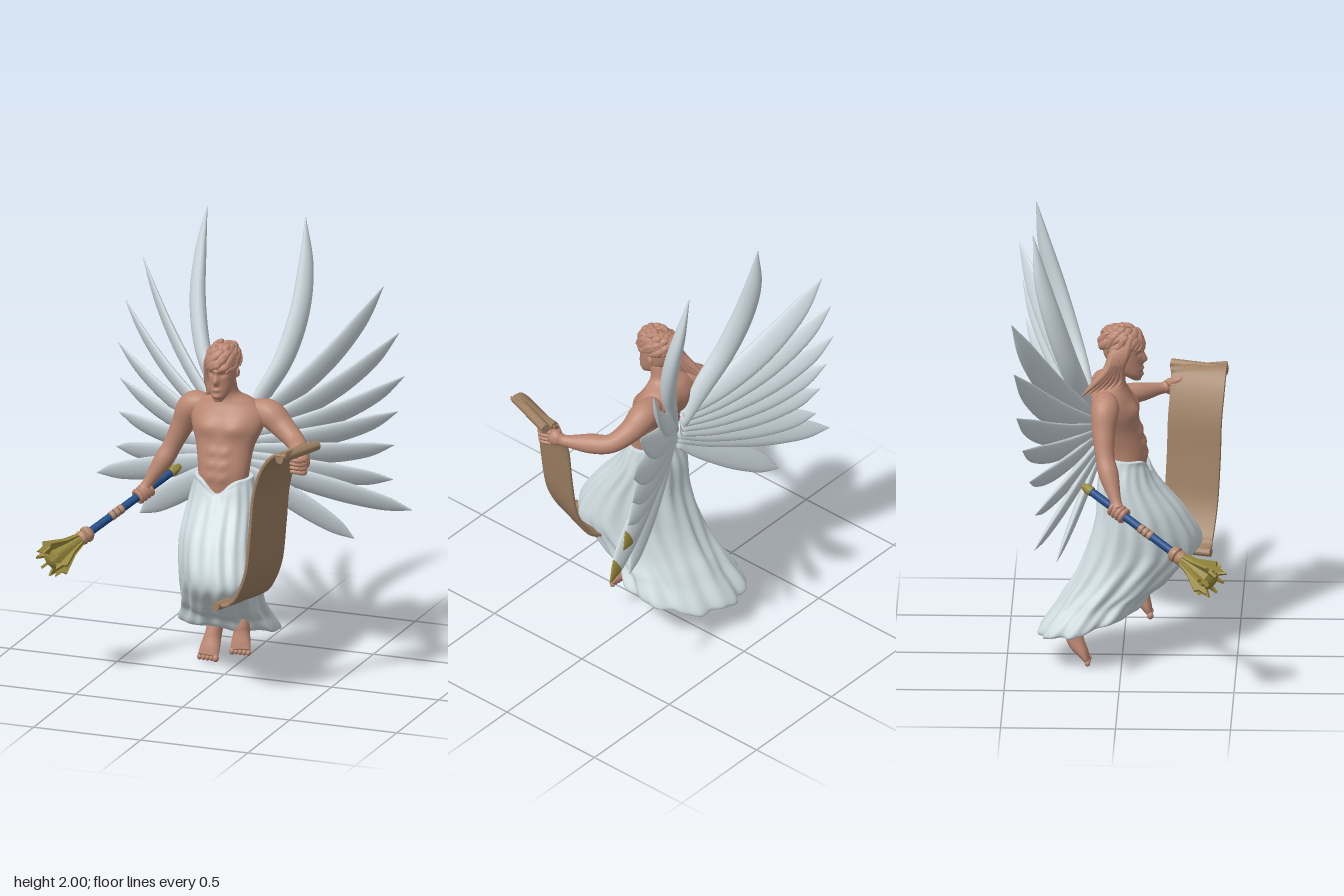
import * as THREE from 'three';
import { toCreasedNormals } from 'three/addons/utils/BufferGeometryUtils.js';

const mat = (name, color) => Object.assign(new THREE.MeshStandardMaterial({ color }), { name });
const SKIN = mat('skin', 0xbb8873);
const FEATHER = mat('feather white', 0xcfdae0);
const CLOTH = mat('cloth white', 0xd0dce0);
const PARCHMENT = mat('parchment', 0x9e8063);
const BLUE = mat('staff blue', 0x1d4a86);
const GOLD = mat('gold', 0x96873c);
const BAND = mat('tan band', 0xb5896c);

const V3 = (a) => new THREE.Vector3(...a);
const gauss = (d, s) => Math.exp(-(d * d) / (s * s));

// Sweeps an elliptical section along a path. Each row is [x, y, z, ru, rv].
// u is the section's first axis; a fixed v keeps all rings parallel.
function sweep(rows, u, { v, seg = 24, sides = 12, pow = 1, deform } = {}) {
  const path = new THREE.CatmullRomCurve3(rows.map((r) => V3(r.slice(0, 3))), false, 'catmullrom');
  const size = new THREE.CatmullRomCurve3(rows.map((r) => V3([r[3], r[4] ?? r[3], 0])), false, 'catmullrom');
  const pos = [], idx = [];
  const shape = (c) => Math.sign(c) * Math.abs(c) ** pow;
  for (let i = 0; i <= seg; i++) {
    const t = i / seg, c = path.getPoint(t), s = size.getPoint(t), T = path.getTangent(t);
    const U = V3(u);
    if (!v) U.addScaledVector(T, -U.dot(T)).normalize();
    const W = v ? V3(v) : T.clone().cross(U);
    for (let j = 0; j < sides; j++) {
      const a = (j / sides) * Math.PI * 2;
      const out = U.clone().multiplyScalar(shape(Math.cos(a)) * Math.max(s.x, 0.001))
        .addScaledVector(W, shape(Math.sin(a)) * Math.max(s.y, 0.001));
      const p = c.clone().add(out);
      if (deform) deform(p, t, a, out.normalize());
      pos.push(p.x, p.y, p.z);
    }
  }
  const first = pos.length / 3, end = seg * sides;
  for (const r of [rows[0], rows.at(-1)]) pos.push(r[0], r[1], r[2]);
  for (let j = 0; j < sides; j++) idx.push(first, (j + 1) % sides, j);
  for (let i = 0; i < seg; i++) for (let j = 0; j < sides; j++) {
    const a = i * sides + j, b = i * sides + (j + 1) % sides;
    idx.push(a, b, b + sides, a, b + sides, a + sides);
  }
  for (let j = 0; j < sides; j++) idx.push(first + 1, end + j, end + (j + 1) % sides);
  const g = new THREE.BufferGeometry();
  g.setAttribute('position', new THREE.Float32BufferAttribute(pos, 3));
  g.setIndex(idx);
  g.computeVertexNormals();
  return g;
}

function add(parent, name, geo, material, at) {
  const m = new THREE.Mesh(geo, material);
  m.name = name;
  if (at) m.position.set(...at);
  parent.add(m);
  return m;
}
const ball = (r, sx = 1, sy = 1, sz = 1) => new THREE.SphereGeometry(r, 16, 12).scale(sx, sy, sz);
const X = [1, 0, 0], Z = [0, 0, 1], FLAT = { v: [0, 0, -1] };

function buildBody(g) {
  // torso with chest and stomach muscles
  add(g, 'torso', sweep([
    [0, 0.82, 0.02, 0.11, 0.08], [0.005, 0.94, 0.02, 0.115, 0.085], [0, 1.05, -0.01, 0.132, 0.09],
    [0, 1.14, -0.04, 0.165, 0.1], [0, 1.2, -0.055, 0.165, 0.092], [0, 1.25, -0.055, 0.115, 0.07],
    [0, 1.285, -0.035, 0.055, 0.05], [0, 1.35, -0.01, 0.046, 0.046]], X, {
    ...FLAT, seg: 64, sides: 48, deform(p, t, a, out) {
      const x = Math.abs(p.x), side = Math.max(0, out.z);
      let d = 0.024 * gauss(x - 0.075, 0.06) * gauss(p.y - 1.145, 0.04);
      for (const y of [0.93, 0.985, 1.04]) d += 0.011 * gauss(x - 0.03, 0.022) * gauss(p.y - y, 0.02);
      p.z += d * side;
      // spine groove
      if (out.z < 0) p.z += 0.016 * gauss(x, 0.025) * gauss(p.y - 1.08, 0.14);
    } }), SKIN);

  // head with brow, nose, lips and chin
  add(g, 'head', sweep([
    [-0.005, 1.27, 0.062, 0.018, 0.018], [-0.005, 1.305, 0.035, 0.043, 0.052], [-0.005, 1.355, 0.01, 0.057, 0.076],
    [-0.005, 1.41, 0, 0.063, 0.087], [-0.005, 1.46, -0.005, 0.06, 0.083], [-0.005, 1.5, -0.008, 0.03, 0.045]], X, {
    ...FLAT, seg: 56, sides: 48, deform(p, t, a, out) {
      if (out.z < 0.2) return;
      const x = Math.abs(p.x + 0.005), y = p.y;
      p.z += 0.02 * gauss(x, 0.011) * gauss(y - 1.362, 0.017) + 0.01 * gauss(x, 0.01) * gauss(y - 1.385, 0.02)
        + 0.007 * gauss(x, 0.05) * gauss(y - 1.412, 0.009) - 0.011 * gauss(x - 0.026, 0.014) * gauss(y - 1.395, 0.01)
        + 0.008 * gauss(x, 0.02) * gauss(y - 1.325, 0.008) + 0.007 * gauss(x, 0.022) * gauss(y - 1.295, 0.01);
    } }), SKIN);
  for (const s of [-1, 1]) add(g, 'ear', ball(0.02, 0.4, 1, 0.7), SKIN, [s * 0.063 - 0.005, 1.385, -0.012]);

  // tousled hair: short curling locks scattered over the skull, then a swept tail on one side
  const hair = new THREE.Group();
  hair.name = 'hair';
  g.add(hair);
  for (let i = 0; i < 56; i++) {
    const r0 = 0.95 * Math.sqrt((i + 0.5) / 56), lift = 0.008 * Math.sin(i * 5);
    const at = (k, w, rise) => {
      const a = i * 2.4 + k * 0.9, r = Math.min(1.06, r0 + k * 0.45), over = Math.max(0, r0 + k * 0.45 - 1);
      const x = r * 0.064 * Math.cos(a), z = r * 0.09 * Math.sin(a) + 0.012 * k;
      return [-0.005 + x, 1.435 + 0.068 * Math.sqrt(Math.max(0, 1.13 - r * r)) - over * 0.1 + rise, z - 0.01, w, w * 0.6];
    };
    add(hair, 'hairLock', sweep([at(0, 0.01, 0), at(0.35, 0.017, 0.007 + lift), at(0.7, 0.014, 0.004), at(1, 0.002, 0.006 + lift)],
      [-Math.sin(i * 2.4 + 0.5), 0.1, Math.cos(i * 2.4 + 0.5)], { seg: 10, sides: 7 }), SKIN);
  }
  for (let i = 0; i < 6; i++) {
    const o = (i - 2.5) * 0.011;
    add(hair, 'hairTail', sweep([
      [-0.045, 1.46 + o, 0.01 + o, 0.018], [-0.072, 1.41, -0.01 + o, 0.02],
      [-0.085 + o * 0.5, 1.345, -0.035 + o, 0.02], [-0.096 + o, 1.29, -0.06 + o * 2, 0.015],
      [-0.118 + o, 1.25 + o * 0.6, -0.095 + o * 3, 0.002]], Z, { seg: 14, sides: 8 }), SKIN);
  }

  // arms
  add(g, 'rightArm', sweep([
    [-0.1, 1.205, -0.07, 0.045], [-0.175, 1.19, -0.07, 0.062], [-0.222, 1.1, -0.075, 0.051], [-0.268, 1.0, -0.068, 0.041],
    [-0.305, 0.93, -0.05, 0.043], [-0.36, 0.835, -0.02, 0.025], [-0.38, 0.8, -0.008, 0.028]], Z, { seg: 40, sides: 20 }), SKIN);
  add(g, 'leftArm', sweep([
    [0.1, 1.205, -0.075, 0.045], [0.18, 1.19, -0.08, 0.062], [0.25, 1.14, -0.065, 0.052], [0.328, 1.092, -0.02, 0.042],
    [0.375, 1.08, 0.06, 0.043], [0.428, 1.08, 0.15, 0.026], [0.44, 1.085, 0.18, 0.028]], [0, 1, 0], { seg: 40, sides: 20 }), SKIN);

  // left hand closing on the scroll
  add(g, 'leftPalm', ball(0.04, 0.75, 0.95, 1), SKIN, [0.445, 1.085, 0.2]);
  for (let i = 0; i < 4; i++) {
    const y = 1.112 - i * 0.019;
    add(g, 'leftFinger', sweep([[0.455, y, 0.21, 0.011], [0.472, y, 0.255, 0.012], [0.445, y + 0.004, 0.288 - i * 0.006, 0.011],
      [0.415, y + 0.006, 0.28, 0.007]], [0, 1, 0], { seg: 12, sides: 8 }), SKIN);
  }
  add(g, 'leftThumb', sweep([[0.43, 1.1, 0.19, 0.014], [0.415, 1.122, 0.225, 0.014], [0.42, 1.135, 0.262, 0.008]], X, { seg: 10, sides: 8 }), SKIN);

  // lower legs, feet and toes
  const feet = {
    right: [[-0.11, 0.23, -0.2, 0.036], [-0.12, 0.18, -0.215, 0.036, 0.034], [-0.13, 0.11, -0.2, 0.037, 0.038], [-0.133, 0.06, -0.17, 0.046, 0.026], [-0.136, 0.025, -0.15, 0.047, 0.014]],
    left: [[0.1, 0.31, 0.06, 0.036], [0.107, 0.27, 0.075, 0.037], [0.112, 0.235, 0.08, 0.036, 0.036], [0.116, 0.19, 0.1, 0.045, 0.025], [0.12, 0.16, 0.115, 0.046, 0.014]],
  };
  for (const [side, rows] of Object.entries(feet)) {
    add(g, side + 'Foot', sweep(rows, X, { seg: 24, sides: 16 }), SKIN);
    const [x, y, z] = rows.at(-1);
    for (let i = 0; i < 5; i++) {
      const k = side === 'right' ? 2 - i : i - 2;
      add(g, side + 'Toe', ball(i === 0 ? 0.015 : 0.012, 0.9, 1.1, 1), SKIN, [x + k * 0.019, y - 0.006, z + 0.003]);
    }
  }
}

// long draped skirt with folds, a dipped waist and a trailing hem
function buildSkirt(g) {
  add(g, 'skirt', sweep([
    [0.005, 0.25, -0.13, 0.02, 0.02], [0.01, 0.185, -0.145, 0.222, 0.21], [0, 0.28, -0.07, 0.205, 0.205],
    [-0.01, 0.38, 0.015, 0.19, 0.22], [-0.01, 0.5, 0.09, 0.185, 0.245], [-0.01, 0.65, 0.08, 0.178, 0.195],
    [0, 0.8, 0.028, 0.158, 0.135], [0.005, 0.89, 0.02, 0.138, 0.105], [0.005, 0.925, 0.02, 0.132, 0.1]], X, {
    ...FLAT, seg: 72, sides: 96, deform(p, t, a, out) {
      const low = 1 - t, hem = Math.max(0, 1 - t * 3.2);
      p.addScaledVector(out, 0.011 * low * Math.sin(9 * a + 5 * t) + 0.005 * Math.sin(17 * a - 9 * t) * Math.min(1, low * 3));
      p.y += hem * (0.4 * (p.z + 0.14) + 0.01 * Math.sin(6 * a));
      p.x += 0.3 * p.z * Math.min(1, low * 2);
      if (out.z > 0) p.y -= 0.08 * gauss(p.x - 0.005, 0.06) * Math.max(0, (t - 0.75) * 4);
    } }), CLOTH);
}

// two fans of long pointed feathers, each tilted so its back turns upward
function buildWings(g) {
  const tips = [[0.56, 1.7, -0.465], [0.637, 1.5, -0.452], [0.668, 1.31, -0.44], [0.648, 1.155, -0.415],
    [0.642, 1.01, -0.385], [0.645, 0.86, -0.36], [0.735, 0.73, -0.36], [0.5, 0.6, -0.27]];
  const widths = [0.024, 0.046, 0.056, 0.059, 0.053, 0.038, 0.002];
  const thick = [0.014, 0.018, 0.02, 0.019, 0.016, 0.011, 0.002];
  const SEG = 30, SIDES = 14, TILT = 0.45, gilded = { 5: 25, 6: 25 };
  for (const s of [-1, 1]) {
    const wing = new THREE.Group();
    wing.name = s > 0 ? 'leftWing' : 'rightWing';
    g.add(wing);
    const normal = V3([0.45 * s, 0, 0.89]);
    tips.forEach((tip, i) => {
      const root = V3([0.025 * s, 1.1 - i * 0.024, i > 4 ? -0.1 : -0.12]);
      const end = V3([tip[0] * s, tip[1], tip[2]]), d = end.clone().sub(root);
      const ctrl = root.clone().add(V3([d.x * 0.62, d.y * 0.42 - 0.055, d.z * 0.58]));
      const rows = new THREE.QuadraticBezierCurve3(root, ctrl, end).getPoints(6)
        .map((p, k) => [p.x, p.y, p.z, widths[k], thick[k]]);
      const u = normal.clone().cross(d).normalize().multiplyScalar(Math.cos(TILT)).addScaledVector(normal, s * Math.sin(TILT));
      const geo = sweep(rows, u.toArray(), { seg: SEG, sides: SIDES });
      // gilding on the back of two lower feather tips of the left wing
      const gold = s > 0 && i in gilded;
      if (gold) {
        const start = (ring) => SIDES * 3 + ring * SIDES * 6, half = SIDES * 3;
        geo.addGroup(0, start(gilded[i]), 0);
        for (let r = gilded[i]; r < SEG; r++) {
          geo.addGroup(start(r), half, 0);
          geo.addGroup(start(r) + half, half, 1);
        }
      }
      add(wing, 'feather', geo, gold ? [FEATHER, GOLD] : FEATHER);
    });
    add(wing, 'tallFeather', sweep([
      [0.025 * s, 1.05, -0.13, 0.02, 0.014], [0.1 * s, 1.22, -0.17, 0.042, 0.026], [0.19 * s, 1.4, -0.228, 0.048, 0.034],
      [0.238 * s, 1.6, -0.29, 0.047, 0.034], [0.246 * s, 1.8, -0.345, 0.035, 0.024], [0.23 * s, 2, -0.382, 0.002, 0.002]],
    [0.62 * s, 0, -0.78], { seg: 32, sides: 16 }), FEATHER);
  }
}

// hanging parchment with a roll at each end
function buildScroll(g) {
  const scroll = new THREE.Group();
  scroll.name = 'scroll';
  g.add(scroll);
  const w = V3([-0.08, 0, 0.24]).normalize(), u = w.toArray();
  const rows = [[0.465, 1.178, 0.32], [0.42, 1.16, 0.32], [0.372, 1.09, 0.315], [0.335, 0.97, 0.305], [0.318, 0.8, 0.3],
    [0.295, 0.62, 0.29], [0.245, 0.5, 0.275], [0.2, 0.455, 0.265], [0.15, 0.437, 0.26]];
  add(scroll, 'sheet', toCreasedNormals(sweep(rows.map((r) => [...r, 0.125, 0.009]), u, { seg: 64, sides: 16, pow: 0.25 }), 0.45), PARCHMENT);
  const roll = (name, c, r) => {
    const at = (k) => [...V3(c).addScaledVector(w, k).toArray(), r];
    add(scroll, name, toCreasedNormals(sweep([at(-0.128), at(0), at(0.128)], [0, 1, 0], { seg: 2, sides: 20 }), 0.8), PARCHMENT);
  };
  roll('topRoll', [0.468, 1.168, 0.32], 0.022);
  roll('bottomRoll', [0.148, 0.438, 0.26], 0.019);
}

// flanged staff, built along +y and then turned into the right hand
function buildStaff(g) {
  const staff = new THREE.Group();
  staff.name = 'staff';
  g.add(staff);
  const a = V3([-0.27, 0.875, -0.17]), b = V3([-0.66, 0.56, 0.42]);
  staff.position.copy(a);
  staff.quaternion.setFromUnitVectors(V3([0, 1, 0]), b.sub(a).normalize());
  const lathe = (name, pts, m, n = 20) => add(staff, name,
    toCreasedNormals(new THREE.LatheGeometry(pts.map((p) => new THREE.Vector2(...p)), n), 0.6), m);
  lathe('pommel', [[0, -0.005], [0.012, 0.005], [0.023, 0.04], [0.021, 0.06], [0, 0.06]], GOLD);
  lathe('shaft', [[0, 0.055], [0.018, 0.055], [0.018, 0.55], [0, 0.55]], BLUE);
  for (const y of [0.35, 0.375, 0.4]) lathe('gripBand', [[0.017, y - 0.012], [0.021, y - 0.008], [0.021, y + 0.008], [0.017, y + 0.012]], BAND);
  lathe('collar', [[0, 0.525], [0.025, 0.525], [0.036, 0.54], [0.036, 0.555], [0.026, 0.562], [0.034, 0.572], [0.03, 0.59], [0, 0.59]], BAND);
  lathe('headCore', [[0, 0.58], [0.024, 0.58], [0.034, 0.65], [0.055, 0.745], [0.035, 0.765], [0, 0.775]], GOLD, 8);
  for (let i = 0; i < 8; i++) {
    const blade = new THREE.Shape([[0.01, 0.58], [0.028, 0.585], [0.045, 0.65], [0.088, 0.735], [0.072, 0.745], [0.068, 0.785], [0.045, 0.76], [0.01, 0.76]]
      .map((p) => new THREE.Vector2(...p)));
    add(staff, 'flange', new THREE.ExtrudeGeometry(blade, { depth: 0.012, bevelEnabled: false }).translate(0, 0, -0.006), GOLD)
      .rotation.y = (i * Math.PI) / 4;
  }
  // right hand wrapped around the shaft
  add(staff, 'rightPalm', ball(0.034, 1, 1.15, 0.9), SKIN, [0, 0.215, 0]);
  for (let i = 0; i < 4; i++) {
    add(staff, 'rightFinger', new THREE.TorusGeometry(0.026, 0.011, 8, 20), SKIN, [0, 0.187 + i * 0.02, 0]).rotation.x = Math.PI / 2;
  }
}

export function createModel() {
  const model = new THREE.Group();
  model.name = 'wingedFigure';
  for (const build of [buildBody, buildSkirt, buildWings, buildScroll, buildStaff]) build(model);
  return model;
}
